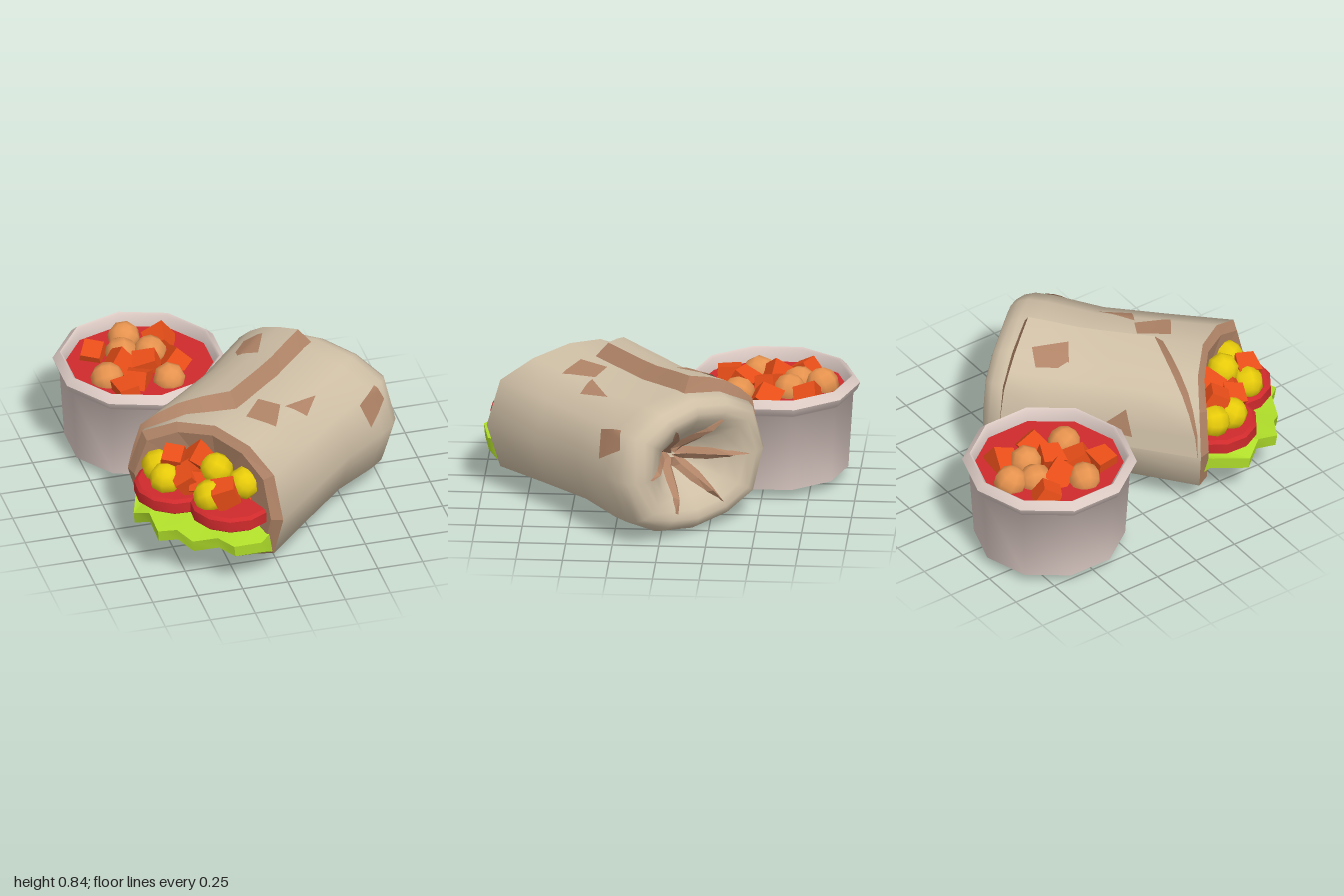
import * as THREE from 'three';
import { toCreasedNormals } from 'three/addons/utils/BufferGeometryUtils.js';

const V = (x, y, z) => new THREE.Vector3(x, y, z);
const { lerp, degToRad } = THREE.MathUtils;
const mat = (name, color, extra = {}) => Object.assign(new THREE.MeshStandardMaterial({ color, ...extra }), { name });

// Skin a list of cross-sections; closed joins the last point of each to the first.
function loft(rings, closed = true, flat = false) {
  const n = rings[0].length, index = [];
  for (let i = 0; i < rings.length - 1; i++) {
    for (let j = 0; j < (closed ? n : n - 1); j++) {
      const a = i * n + j, b = i * n + (j + 1) % n;
      index.push(a, a + n, b, b, a + n, b + n);
    }
  }
  let g = new THREE.BufferGeometry().setFromPoints(rings.flat());
  g.setIndex(index);
  if (flat) g = g.toNonIndexed();
  g.computeVertexNormals();
  return g;
}

// Twelve-sided oval section of the wrap, linear between corners.
const QUARTER = [[1, 0], [0.85, 0.65], [0.47, 0.9], [0, 1]];
function corner(i) {
  i = ((i % 12) + 12) % 12;
  const q = QUARTER[i <= 3 ? i : i <= 6 ? 6 - i : i <= 9 ? i - 6 : 12 - i];
  return [q[0] * (i > 3 && i < 9 ? -1 : 1), q[1] * (i > 6 ? -1 : 1)];
}
function section(deg, s, z) {
  const f = deg / 30, i = Math.floor(f), t = f - i, a = corner(i), b = corner(i + 1);
  return V(0.49 * s * lerp(a[0], b[0], t), 0.38 + 0.38 * s * lerp(a[1], b[1], t), z);
}
const ring = (s, zOf) => Array.from({ length: 12 }, (_, i) => section(i * 30, s, zOf(Math.abs(Math.cos(i * Math.PI / 6)))));

// Slight waist along the length of the wrap.
const WAIST = [[0.6, 1], [0.2, 0.965], [-0.14, 0.94], [-0.42, 1], [-0.52, 1]];
function waist(z) {
  for (let i = 0; i < 4; i++) {
    const [z0, s0] = WAIST[i], [z1, s1] = WAIST[i + 1];
    if (z >= z1) return lerp(s1, s0, Math.min(1, (z - z1) / (z0 - z1)));
  }
  return 1;
}
const flapK = (deg) => 1.02 + 0.21 * (180 - deg) / 90;
const surface = (deg, z, k = 1) => section(deg, waist(z) * k, z);

export function createModel() {
  const root = new THREE.Group();
  const two = { side: THREE.DoubleSide };
  const tortilla = mat('tortilla', 0xcfbfa6, two), toasted = mat('toasted brown', 0xb08467, two);
  const cupGrey = mat('cup grey', 0xdbc9c3, two), red = mat('tomato red', 0xcf2a2c);
  const orange = mat('orange', 0xee5019, { flatShading: true }), peach = mat('peach', 0xe8944f);
  const yellow = mat('yellow', 0xe8cc0a), green = mat('lettuce green', 0xb0de2a, two);
  const add = (parent, name, geo, material, pos) => {
    const m = new THREE.Mesh(geo, material);
    m.name = name;
    if (pos) m.position.set(...pos);
    parent.add(m);
    return m;
  };

  // Rolled wrap, open toward its own +z
  const wrap = new THREE.Group();
  wrap.name = 'wrap';
  wrap.position.set(0.085, 0, 0.215);
  wrap.rotation.y = -0.828;
  root.add(wrap);
  const rim = (c) => 0.49 + 0.1 * c * c;
  const tuck = [[-0.56, 0.96], [-0.6, 0.89], [-0.615, 0.78], [-0.6, 0.66], [-0.55, 0.5], [-0.46, 0.32], [-0.36, 0.12], [-0.35, 0]];
  add(wrap, 'wrapBody', loft([
    ring(1, rim),
    ...WAIST.slice(1).map(([z, s]) => ring(s, () => z)),
    ...tuck.map(([z, s]) => ring(s, (c) => z - 0.02 * c * s)),
  ]), tortilla);

  // Toasted face of the open end with a bevelled rim
  add(wrap, 'openEnd', loft([
    ring(0, () => 0.46), ring(0.88, (c) => rim(c) + 0.03), ring(1, rim),
  ], true, true), toasted);

  // Raised flap over the top, inset from its wider toasted base
  const cols = [180, 165, 150, 135, 120, 105, 90], rows = [0, 0.2, 0.4, 0.6, 0.8, 1];
  const flapZ = (deg, u) => {
    const f = 1 - Math.abs(Math.cos(degToRad(deg)));
    return lerp(0.574 - 0.3 * f, -0.517 + 0.03 * f, u);
  };
  const flapBase = (d, u) => surface(d, flapZ(d, u), 0.99);
  const flapTop = (d, u) => {
    const e = lerp(97, 180, (d - 90) / 90), in0 = 0.045 * (180 - d) / 90;
    return surface(e, flapZ(d, lerp(in0, 1 - in0, u)), flapK(d));
  };
  add(wrap, 'flap', loft(cols.map((d) => rows.map((u) => flapTop(d, u))).reverse(), false), tortilla);
  const edge = (pts) => add(wrap, 'flapEdge', loft([pts.map((p) => flapTop(...p)), pts.map((p) => flapBase(...p))], false), toasted);
  edge(cols.map((d) => [d, 0]));
  edge(cols.map((d) => [d, 1]).reverse());
  edge(rows.map((u) => [90, u]));
  edge(rows.map((u) => [180, u]).reverse());

  // Pinched creases radiating inside the tucked end, widest near the middle
  const crease = [[-0.605, 0.68, 0], [-0.565, 0.5, 0.022], [-0.48, 0.33, 0.042], [-0.385, 0.15, 0.045], [-0.36, 0.04, 0.012]];
  for (let i = 0; i < 6; i++) {
    const a = degToRad(i * 60), nx = -Math.sin(a), ny = Math.cos(a);
    add(wrap, 'crease', loft(crease.map(([z, s, w]) => {
      const p = section(i * 60, s, z);
      return [-1, 0, 1].map((k) => V(p.x + nx * w * k, p.y + ny * w * k, z + (k ? 0.005 : -0.03)));
    }), false, true), toasted);
  }

  // Toasted patches: angle round the wrap, position along it, half sizes, skew, tip width
  const patches = [
    [73, 0.19, 11, 0.09, 4, 0.7], [57, -0.03, 9, 0.085, 0, 0.1], [22, -0.4, 9, 0.08, 4, 0.7],
    [-48, -0.29, 9, 0.085, 4, 0.5], [-98, 0.25, 9, 0.06, 3, 0.7], [-110, 0.1, 8, 0.055, 5, 0.15],
    [122, -0.28, 10, 0.09, 3, 0.7], [166, 0.12, 9, 0.07, 3, 0.15],
  ];
  const steps = [-1, -0.5, 0, 0.5, 1];
  for (const [deg, z, da, dz, skew, tip] of patches) {
    add(wrap, 'toastedPatch', loft(steps.map((v) => steps.map((u) => {
      const d = deg + da * u * lerp(1, tip, (v + 1) / 2) + skew * v;
      return surface(d, z - dz * v + 0.02 * u, (d >= 90 ? flapK(d) : 1) + 0.014);
    })), false), toasted);
  }

  // Tomato slices
  for (const x of [-0.18, 0.17]) {
    const profile = [[0, 0.33], [0.205, 0.33], [0.225, 0.345], [0.225, 0.405], [0.205, 0.42], [0, 0.42]];
    const slice = new THREE.LatheGeometry(profile.map((p) => new THREE.Vector2(...p)), 12);
    add(wrap, 'tomatoSlice', toCreasedNormals(slice, 0.6), red, [x, 0, 0.6]);
  }

  // Ruffled lettuce leaf with a low belly: x, outer z, outer y, inner y
  const leaf = [
    [-0.41, 0.63, 0.29, 0.3], [-0.31, 0.82, 0.25, 0.32], [-0.2, 0.84, 0.3, 0.32], [-0.095, 0.92, 0.26, 0.31],
    [0, 0.88, 0.28, 0.3], [0.1, 0.88, 0.24, 0.29], [0.22, 0.82, 0.27, 0.28], [0.325, 0.82, 0.25, 0.27], [0.41, 0.68, 0.23, 0.26],
  ].map(([x, z, yo, yi]) => [V(x, yo + 0.03, z), V(x, yi + 0.03, 0.45), V(x, yi - 0.13, 0.54), V(x, yo - 0.035, z - 0.01)]);
  const tipRing = (r) => r.map(() => r[0].clone().lerp(r[2], 0.5));
  add(wrap, 'lettuce', toCreasedNormals(loft([tipRing(leaf[0]), ...leaf, tipRing(leaf[8])]), 0.6), green);

  // Diced filling and corn in the opening
  const ball = new THREE.SphereGeometry(0.09, 8, 6), cube = new THREE.CylinderGeometry(0.075, 0.095, 0.125, 4);
  const scatter = (name, geo, material, list) => list.forEach((p, i) =>
    add(root, name, geo, material, p).rotation.set(0.4 + i * 0.7, 0.3 + i * 1.1, 0.2 + i * 0.5));
  scatter('corn', ball, yellow, [[-0.55, 0.47, 0.54], [-0.56, 0.48, 0.42], [-0.3, 0.56, 0.66], [-0.37, 0.47, 0.77], [-0.18, 0.52, 0.77]]);
  scatter('dicedPepper', cube, orange, [[-0.49, 0.55, 0.48], [-0.45, 0.49, 0.61], [-0.36, 0.56, 0.52],
    [-0.29, 0.5, 0.81], [-0.15, 0.45, 0.7], [-0.38, 0.48, 0.64]]);

  // Ten-sided dip cup with rolled rim
  const cup = new THREE.Group();
  cup.name = 'cup';
  cup.position.set(-0.395, 0, -0.535);
  root.add(cup);
  const cupProfile = [[0, 0.05], [0.405, 0.05], [0.432, 0.475], [0.452, 0.49], [0.468, 0.53], [0.428, 0.57], [0.414, 0.56], [0.41, 0.46]];
  add(cup, 'cupShell', toCreasedNormals(new THREE.LatheGeometry(cupProfile.map((p) => new THREE.Vector2(...p)), 10), 1.1), cupGrey);
  add(cup, 'sauce', new THREE.CircleGeometry(0.413, 10, Math.PI / 2).rotateX(-Math.PI / 2), red, [0, 0.49, 0]);

  // Chunks floating in the sauce
  scatter('bean', ball, peach, [[-0.41, 0.51, -0.8], [-0.46, 0.5, -0.67], [-0.31, 0.51, -0.63], [-0.6, 0.5, -0.45], [-0.28, 0.5, -0.36]]);
  scatter('sauceChunk', cube, orange, [[-0.61, 0.5, -0.7], [-0.23, 0.5, -0.73], [-0.5, 0.51, -0.55], [-0.36, 0.51, -0.51],
    [-0.2, 0.5, -0.51], [-0.45, 0.5, -0.38], [-0.53, 0.5, -0.29]]);
  return root;
}
